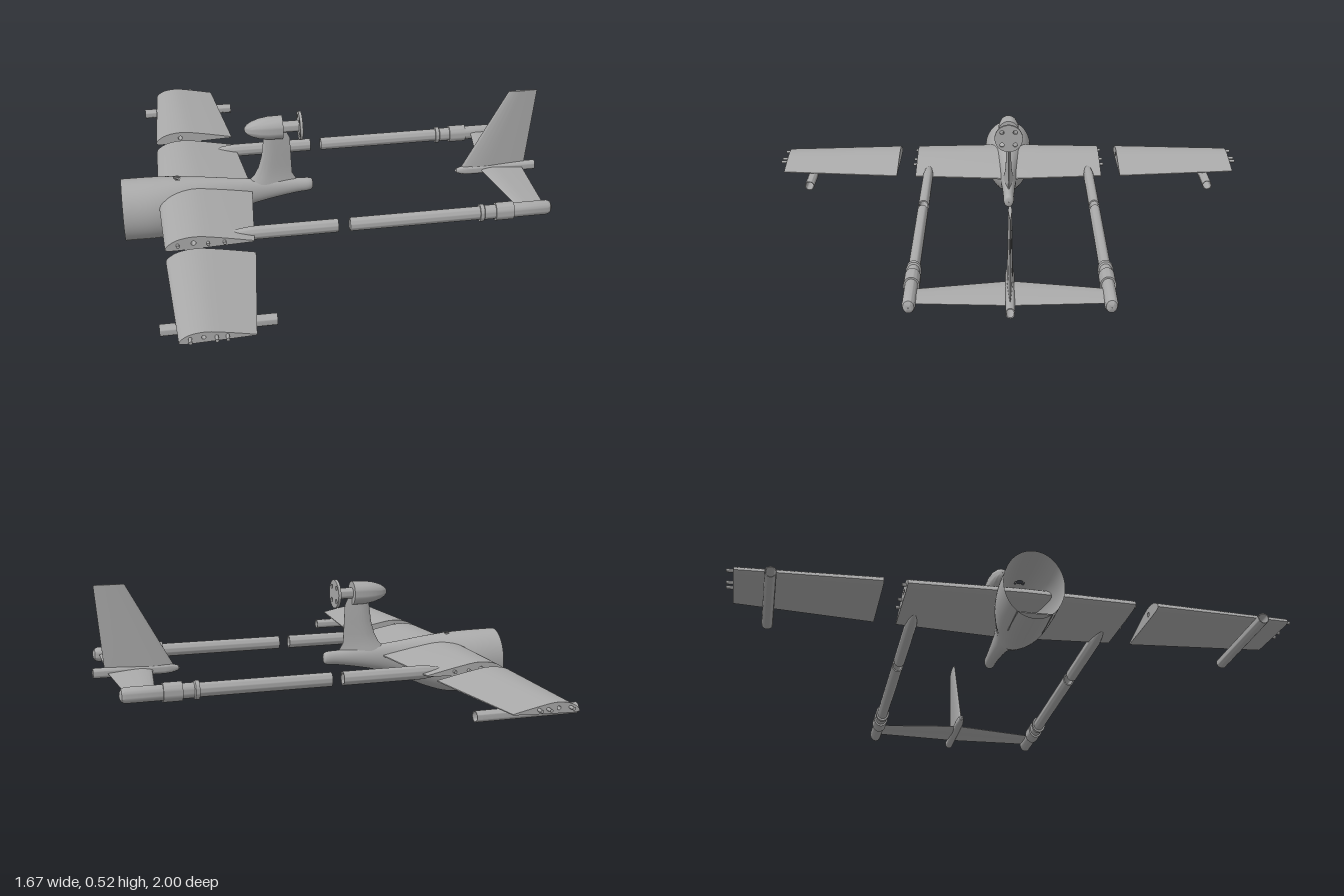
import * as THREE from 'three';
import { toCreasedNormals } from 'three/addons/utils/BufferGeometryUtils.js';

const grey = new THREE.MeshStandardMaterial({ color: 0xaaaaaa, side: THREE.DoubleSide });
grey.name = 'plain grey';

export function createModel() {
  const root = new THREE.Group();
  root.name = 'twinBoomAircraft';

  const add = (name, geo, x = 0, y = 0, z = 0) => {
    const mesh = new THREE.Mesh(geo, grey);
    mesh.name = name;
    mesh.position.set(x, y, z);
    root.add(mesh);
    return mesh;
  };

  // Turned part along x from [x, radius] pairs, stretched in y
  const turned = (pts, stretch = 1) => {
    const g = new THREE.LatheGeometry(pts.map(([x, r]) => new THREE.Vector2(r, x)), 32);
    g.rotateZ(-Math.PI / 2);
    g.scale(1, stretch, 1);
    return toCreasedNormals(g, 0.6);
  };

  // Airfoil panel along z; stations are [z, leading edge x, chord, thickness scale]
  const panel = (upper, lower, stations, hole) => {
    const v = p => p.map(([a, b]) => new THREE.Vector2(a, b));
    const top = new THREE.SplineCurve(v(upper)).getPoints(24);
    const bottom = new THREE.SplineCurve(v(lower)).getPoints(16);
    const shape = new THREE.Shape([...top, ...bottom]);
    if (hole) shape.holes.push(new THREE.Path().absarc(hole[0], hole[1], hole[2], 0, Math.PI * 2, true));
    const n = stations.length - 1;
    const g = new THREE.ExtrudeGeometry(shape, { depth: n, steps: n, bevelEnabled: false, curveSegments: 8 });
    const p = g.attributes.position;
    for (let i = 0; i < p.count; i++) {
      const [z, le, chord, t = 1] = stations[Math.round(p.getZ(i))];
      p.setXYZ(i, le + chord * p.getX(i), chord * t * p.getY(i), z);
    }
    return toCreasedNormals(g, 0.6);
  };

  // Fuselage: elliptical sections [x, bottom, top, half width], open at the nose
  const keys = [
    [-0.84, 0.003, 0.255, 0.104], [-0.72, 0.001, 0.254, 0.103], [-0.63, 0.003, 0.251, 0.091],
    [-0.53, 0.033, 0.243, 0.066], [-0.396, 0.092, 0.227, 0.039], [-0.284, 0.123, 0.216, 0.029],
    [-0.15, 0.147, 0.207, 0.022], [-0.1, 0.152, 0.204, 0.02], [-0.09, 0.158, 0.199, 0.016],
    [-0.085, 0.177, 0.179, 0.001]];
  const xy = new THREE.CatmullRomCurve3(keys.map(k => new THREE.Vector3(k[0], k[1], k[2])));
  const xw = new THREE.CatmullRomCurve3(keys.map(k => new THREE.Vector3(k[0], k[3], 0)));
  const rows = 108, cols = 64, pos = [], idx = [];
  for (let i = 0; i <= rows; i++) {
    const c = xy.getPoint(i / rows), w = Math.max(0.001, xw.getPoint(i / rows).y);
    for (let j = 0; j <= cols; j++) {
      const a = j / cols * Math.PI * 2;
      pos.push(c.x, (c.y + c.z) / 2 + (c.z - c.y) / 2 * Math.cos(a), w * Math.sin(a));
    }
  }
  for (let i = 0; i < rows; i++) for (let j = 0; j < cols; j++) {
    const a = i * (cols + 1) + j, b = a + cols + 1;
    // Leave out the round port on the upper skin
    const mx = (pos[a * 3] + pos[b * 3]) / 2, mz = (pos[a * 3 + 2] + pos[a * 3 + 5]) / 2;
    if (pos[a * 3 + 1] > 0.2 && Math.hypot(mx + 0.625, mz) < 0.015) continue;
    idx.push(a, a + 1, b, b, a + 1, b + 1);
  }
  const hull = new THREE.BufferGeometry();
  hull.setAttribute('position', new THREE.Float32BufferAttribute(pos, 3));
  hull.setIndex(idx);
  hull.computeVertexNormals();
  add('fuselage', hull);
  add('topPortRim', new THREE.RingGeometry(0.012, 0.018, 24).rotateX(-Math.PI / 2), -0.625, 0.252, 0);
  add('noseFloor', new THREE.BoxGeometry(0.14, 0.004, 0.12), -0.765, 0.025, 0);

  // Wings with flat-bottomed section
  const camberTop = [[0, 0.01], [0.03, 0.06], [0.15, 0.125], [0.35, 0.15], [0.6, 0.115], [1, 0.035]];
  const camberLow = [[1, 0.022], [0.5, 0.002], [0.12, -0.01], [0.02, -0.004]];
  const bore = [0.32, 0.07, 0.028];
  add('centreWing', panel(camberTop, camberLow,
    [[-0.4, -0.692, 0.327], [0, -0.702, 0.372], [0.4, -0.692, 0.327]], bore), 0, 0.167, 0);
  const pin = new THREE.CylinderGeometry(0.006, 0.006, 0.03, 12).rotateX(Math.PI / 2);
  const podTube = turned([[-0.73, 0.017], [-0.73, 0.02], [-0.34, 0.02], [-0.34, 0.017], [-0.73, 0.017]]);

  // Booms: a faired front length and a rear length with collars
  const frontBoom = turned([[-0.478, 0.001], [-0.46, 0.008], [-0.42, 0.016], [-0.37, 0.0212], [-0.33, 0.0215],
    [-0.045, 0.0215], [-0.045, 0.017], [-0.3, 0.017]], 1.25);
  const rearBoom = turned([[0.3, 0.017], [0, 0.017], [0, 0.0215], [0.503, 0.0215], [0.503, 0.028], [0.518, 0.028],
    [0.522, 0.023], [0.565, 0.023], [0.565, 0.029], [0.635, 0.029], [0.635, 0.0235], [0.77, 0.0235],
    [0.782, 0.019], [0.788, 0.01], [0.79, 0.001]], 1.25);

  for (const s of [1, -1]) {
    const side = s > 0 ? 'left' : 'right';
    const ends = [[s * 0.48, -0.692, 0.324], [s * 0.975, -0.672, 0.252]];
    add(side + 'OuterWing', panel(camberTop, camberLow, s > 0 ? ends : ends.reverse(), bore), 0, 0.167, 0);
    for (const x of [-0.645, -0.535, -0.475]) add(side + 'InnerWingPin', pin, x, 0.187, s * 0.4);
    for (const x of [-0.635, -0.55, -0.515]) add(side + 'WingTipPin', pin, x, 0.184, s * 0.985);
    add(side + 'WingTube', podTube, 0, 0.143, s * 0.854);
    add(side + 'FrontBoom', frontBoom, 0, 0.179, s * 0.345);
    add(side + 'RearBoom', rearBoom, 0, 0.179, s * 0.345);
  }

  // Tail surfaces with symmetric section
  const symTop = [[0, 0], [0.03, 0.025], [0.15, 0.05], [0.35, 0.06], [0.7, 0.035], [1, 0.006]];
  const symLow = symTop.slice(1).reverse().map(([a, b]) => [a, -b]);
  add('tailplane', panel(symTop, symLow,
    [[-0.335, 0.66, 0.105], [0, 0.605, 0.175], [0.335, 0.66, 0.105]]), 0, 0.182, 0);
  add('fin', panel(symTop, symLow,
    [[0.18, 0.515, 0.27, 0.7], [0.21, 0.532, 0.26, 0.7], [0.52, 0.705, 0.117, 0.9]]).rotateX(-Math.PI / 2));
  add('tailTube', turned([[0.5, 0.001], [0.506, 0.008], [0.53, 0.014], [0.56, 0.0165], [0.835, 0.0165],
    [0.835, 0.013], [0.7, 0.013]], 1.2), 0, 0.183, 0);

  // Engine pylon, flared at its foot
  add('enginePylon', panel(symTop, symLow, [
    [0.18, -0.37, 0.23, 1.9], [0.215, -0.342, 0.185, 1.7], [0.235, -0.321, 0.152, 1.6], [0.27, -0.303, 0.132, 1.5],
    [0.32, -0.289, 0.116, 1.5], [0.39, -0.28, 0.104, 1.6], [0.42, -0.28, 0.09, 1.7]]).rotateX(-Math.PI / 2));

  // Engine, shaft and drilled propeller plate
  add('engineNacelle', turned([[-0.353, 0.001], [-0.352, 0.008], [-0.343, 0.018], [-0.325, 0.028], [-0.295, 0.037],
    [-0.26, 0.042], [-0.205, 0.043], [-0.205, 0.001]], 1.1), 0, 0.438, 0);
  add('engineShaft', turned([[-0.21, 0.022], [-0.135, 0.022], [-0.135, 0.001]]), 0, 0.438, 0);
  const disc = new THREE.Shape().absarc(0, 0, 0.057, 0, Math.PI * 2);
  for (let i = 0; i < 4; i++) {
    const a = Math.PI / 4 + i * Math.PI / 2;
    disc.holes.push(new THREE.Path().absarc(0.038 * Math.cos(a), 0.038 * Math.sin(a), 0.009, 0, Math.PI * 2, true));
  }
  const plate = new THREE.ExtrudeGeometry(disc, { depth: 0.011, bevelEnabled: false, curveSegments: 32 });
  add('propellerPlate', toCreasedNormals(plate.rotateY(Math.PI / 2), 0.6), -0.141, 0.438, 0);

  return root;
}
